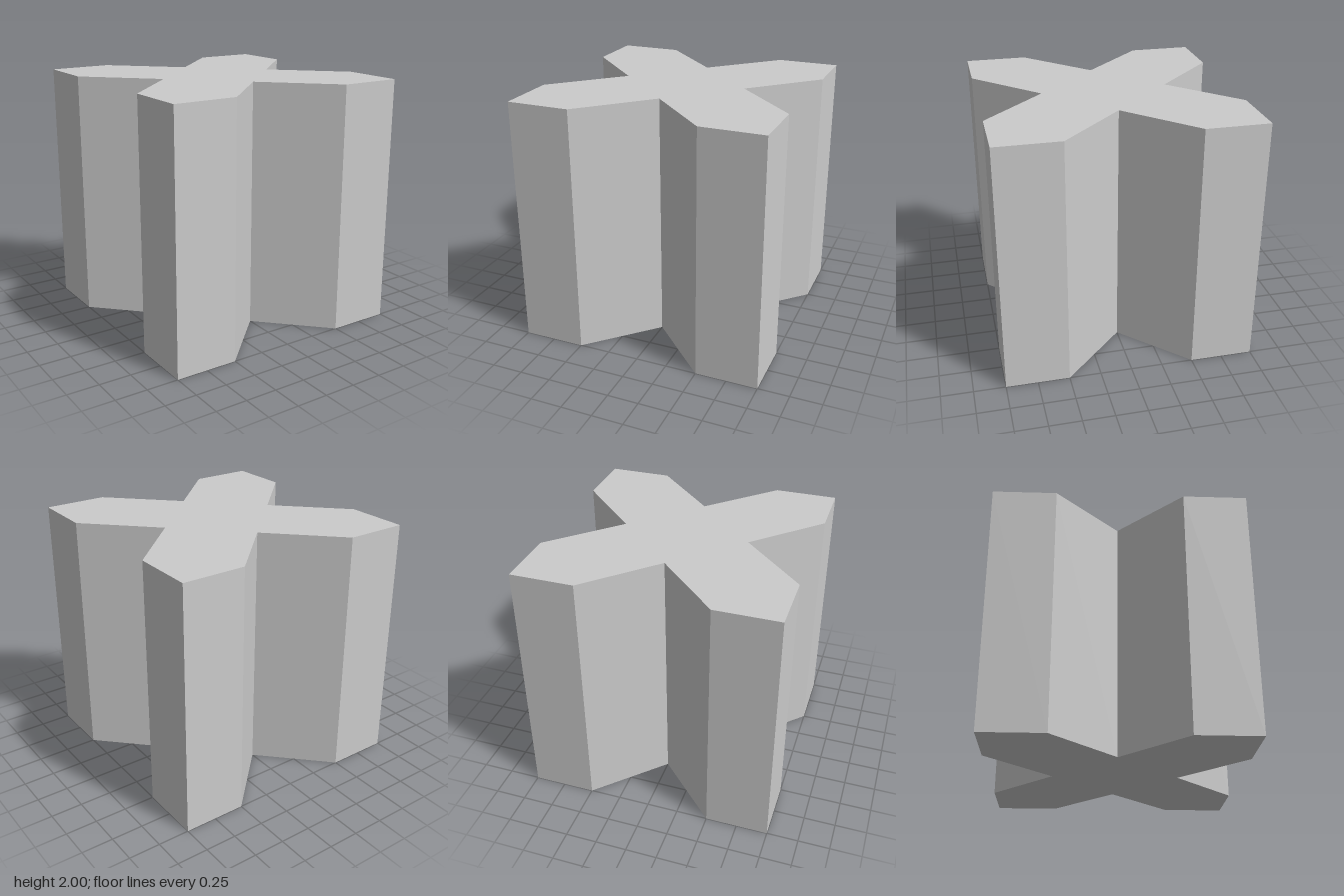
import * as THREE from 'three';

export function createModel() {
  const group = new THREE.Group();
  group.name = 'crossPrism';

  // One quarter of the X outline: inner notch, then the arm's pointed end
  const quarter = [[0.5, 0], [1, 0.5], [1, 1], [0.5, 1]];
  const outline = [];
  for (let i = 0; i < 4; i++) {
    for (const [x, y] of quarter) {
      outline.push(new THREE.Vector2(x, y).rotateAround(new THREE.Vector2(), i * Math.PI / 2));
    }
  }

  // Extrude the outline and stand it upright on the ground
  const geometry = new THREE.ExtrudeGeometry(new THREE.Shape(outline), {
    depth: 2, bevelEnabled: false,
  });
  geometry.rotateX(-Math.PI / 2);

  const material = new THREE.MeshStandardMaterial({ color: 0xcccccc, flatShading: true });
  const body = new THREE.Mesh(geometry, material);
  body.name = 'crossBody';
  group.add(body);
  return group;
}
